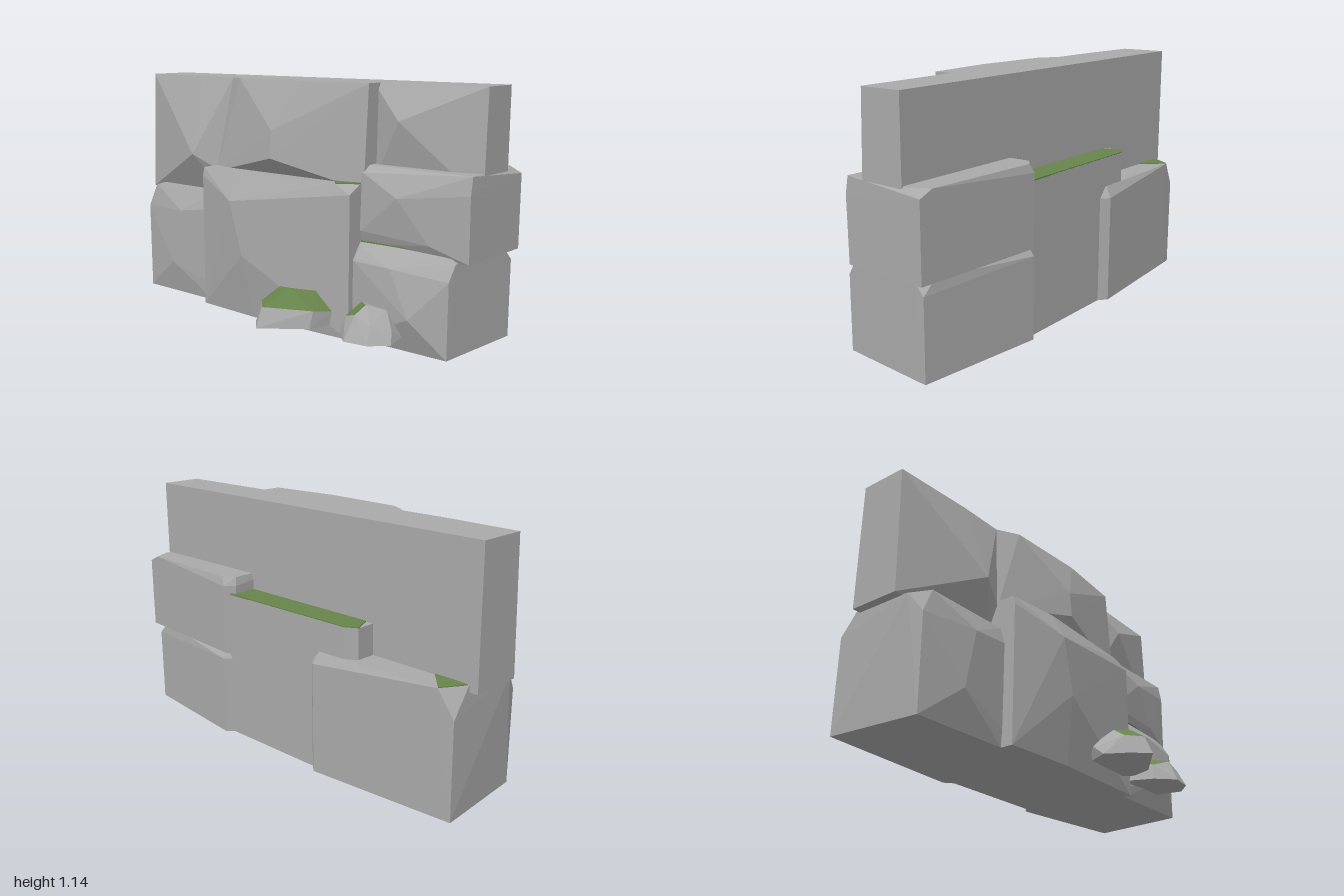
import * as THREE from 'three';
import { ConvexGeometry } from 'three/addons/geometries/ConvexGeometry.js';

export function createModel() {
  const group = new THREE.Group();
  group.name = 'stoneWall';
  const stone = new THREE.MeshStandardMaterial({ name: 'stone', color: 0xa9a9a9, flatShading: true });
  const moss = new THREE.MeshStandardMaterial({ name: 'moss', color: 0x67844a, flatShading: true });

  const hull = (pts) => new ConvexGeometry(pts.map((p) => new THREE.Vector3(...p)));
  const add = (name, geo, mat = stone) => {
    const mesh = new THREE.Mesh(geo, mat);
    mesh.name = name;
    group.add(mesh);
    return mesh;
  };
  // plan outline [x, z] repeated at several heights
  const prism = (plan, ...ys) => ys.flatMap((y) => plan.map(([x, z]) => [x, y, z]));

  // top course: three hewn faces sharing one flat back
  add('topLeftStone', hull([
    ...prism([[-1, -0.28], [-0.4, -0.28]], 0.53, 1.14),
    [-1, 1.14, -0.05], [-0.4, 1.14, -0.03], [-0.62, 1.14, -0.03],
    [-1, 0.53, -0.03], [-0.44, 0.67, 0.03], [-0.44, 0.53, -0.03],
    [-0.58, 0.75, 0.09],
  ]));
  add('topMiddleStone', hull([
    ...prism([[-0.42, -0.28], [0.455, -0.28]], 0.6, 1.14),
    [-0.4, 1.14, -0.03], [-0.3, 1.14, 0.03], [0.1, 1.14, 0.05], [0.455, 1.14, 0.02],
    [-0.455, 0.67, 0.04], [0.455, 0.67, 0.05],
    [-0.02, 0.91, 0.125], [-0.02, 0.78, 0.135],
  ]));
  add('topRightStone', hull([
    ...prism([[0.42, -0.28], [0.98, -0.28]], 0.66, 1.14),
    [0.42, 1.14, -0.07], [0.98, 1.14, -0.08],
    [0.42, 0.66, -0.06], [0.98, 0.66, -0.065],
    [0.6, 0.98, 0.005],
  ]));

  // right-hand middle stone
  add('rightMiddleStone', hull([
    ...prism([[0.32, 0.03], [0.31, -0.39], [0.35, -0.432]], 0.41, 0.74),
    [0.32, 0.78, 0], [0.32, 0.78, -0.38], [0.37, 0.78, -0.42],
    [0.995, 0.41, -0.385], [0.995, 0.75, -0.385], [0.97, 0.78, -0.31], [0.93, 0.78, -0.39],
    [0.975, 0.41, 0.03], [0.975, 0.7, 0.035], [0.975, 0.78, 0.02],
    [0.45, 0.49, 0.06], [0.45, 0.75, 0.05], [0.65, 0.66, 0.085], [0.8, 0.47, 0.06],
  ]));

  // right-hand base stone
  add('rightBaseStone', hull([
    ...prism([[0.32, 0.09], [0.32, -0.4], [0.36, -0.44]], 0, 0.38),
    [0.36, 0.43, -0.4], [0.4, 0.44, 0.05],
    [0.97, 0, -0.37], [0.97, 0.36, -0.37], [0.965, 0.41, -0.32], [0.9, 0.42, -0.37],
    [0.92, 0, 0.095], [0.92, 0.34, 0.095], [0.925, 0.41, 0.05], [0.88, 0.44, 0.03],
    [0.45, 0, 0.1], [0.45, 0.36, 0.11], [0.65, 0.36, 0.125], [0.76, 0.16, 0.155],
  ]));

  // large centre stone
  add('centreStone', hull([
    ...prism([[-0.455, 0.14], [0.445, 0.14]], 0, 0.66),
    ...prism([[-0.455, -0.37], [-0.4, -0.405], [0.4, -0.41], [0.445, -0.3]], 0, 0.7),
    [-0.455, 0.7, 0.13], [0.445, 0.7, 0.06], [0.36, 0.7, 0.13], [-0.2, 0.7, 0.155],
    [-0.1, 0, 0.16], [-0.13, 0.31, 0.215], [-0.2, 0.57, 0.222],
  ]));

  // left-hand base stone
  add('leftBaseStone', hull([
    ...prism([[-0.22, 0.06], [-0.21, -0.405], [-0.25, -0.44]], 0, 0.51),
    [-0.24, 0.56, 0.04], [-0.26, 0.56, -0.41],
    [-0.965, 0, -0.38], [-0.965, 0.44, -0.38], [-0.96, 0.56, -0.285], [-0.89, 0.56, -0.39],
    [-0.93, 0, 0.07], [-0.935, 0.44, 0.07], [-0.96, 0.53, 0], [-0.88, 0.56, 0.06],
    [-0.455, 0, 0.08], [-0.455, 0.56, 0.06], [-0.72, 0.17, 0.112], [-0.66, 0.45, 0.108],
  ]));

  // thin moss patches on the ledges, outlines in [x, z]
  const patch = (name, y, plan) => add(name, hull(prism(plan, y - 0.002, y + 0.004)), moss);
  patch('backLedgeMoss', 0.7, [[-0.455, -0.37], [-0.41, -0.27], [0.33, -0.27], [0.33, -0.41], [-0.4, -0.403]]);
  patch('leftLedgeMoss', 0.56, [[-0.955, -0.285], [-0.89, -0.388], [-0.78, -0.27]]);
  patch('centreLedgeMoss', 0.7, [[0.3, 0.06], [0.36, 0.128], [0.443, 0.065], [0.44, 0.03]]);
  patch('rightLedgeMoss', 0.44, [[0.45, 0.02], [0.45, 0.055], [0.7, 0.045], [0.82, 0.02]]);

  // small boulders: facets picked by the rule become mossy
  const boulder = (name, pts, isMossy) => {
    const geo = hull(pts);
    const p = geo.attributes.position;
    const tri = new THREE.Triangle();
    const n = new THREE.Vector3();
    const c = new THREE.Vector3();
    for (let i = 0; i < p.count; i += 3) {
      tri.setFromAttributeAndIndices(p, i, i + 1, i + 2);
      tri.getNormal(n);
      tri.getMidpoint(c);
      geo.addGroup(i, 3, isMossy(n, c) ? 1 : 0);
    }
    add(name, geo, [stone, moss]);
  };
  boulder('largeBoulder', [
    ...prism([[0.035, 0.26], [0.09, 0.36], [0.16, 0.44], [0.35, 0.3], [0.385, 0.2], [0.33, 0.12], [0.1, 0.13]], 0.072),
    [0.05, 0.12, 0.2], [0.1, 0.165, 0.33], [0.16, 0.16, 0.4], [0.39, 0.135, 0.19], [0.355, 0.15, 0.28],
    [0.14, 0.22, 0.25], [0.225, 0.235, 0.285], [0.29, 0.21, 0.18], [0.13, 0.17, 0.14],
  ], (n, c) => c.y > 0.16 && n.y > 0.2 && (n.x > 0.25 || (n.x < -0.3 && n.z > 0.3)));
  boulder('smallBoulder', [
    ...prism([[0.435, 0.14], [0.48, 0.25], [0.56, 0.335], [0.67, 0.32], [0.745, 0.25], [0.72, 0.13], [0.5, 0.06]], 0.072),
    [0.46, 0.12, 0.15], [0.5, 0.15, 0.24], [0.58, 0.18, 0.28], [0.66, 0.15, 0.28], [0.72, 0.12, 0.21],
    [0.58, 0.205, 0.2], [0.51, 0.19, 0.13], [0.65, 0.18, 0.14],
  ], (n, c) => c.y > 0.165 && n.y > 0.2 && n.x < -0.2);

  return group;
}
